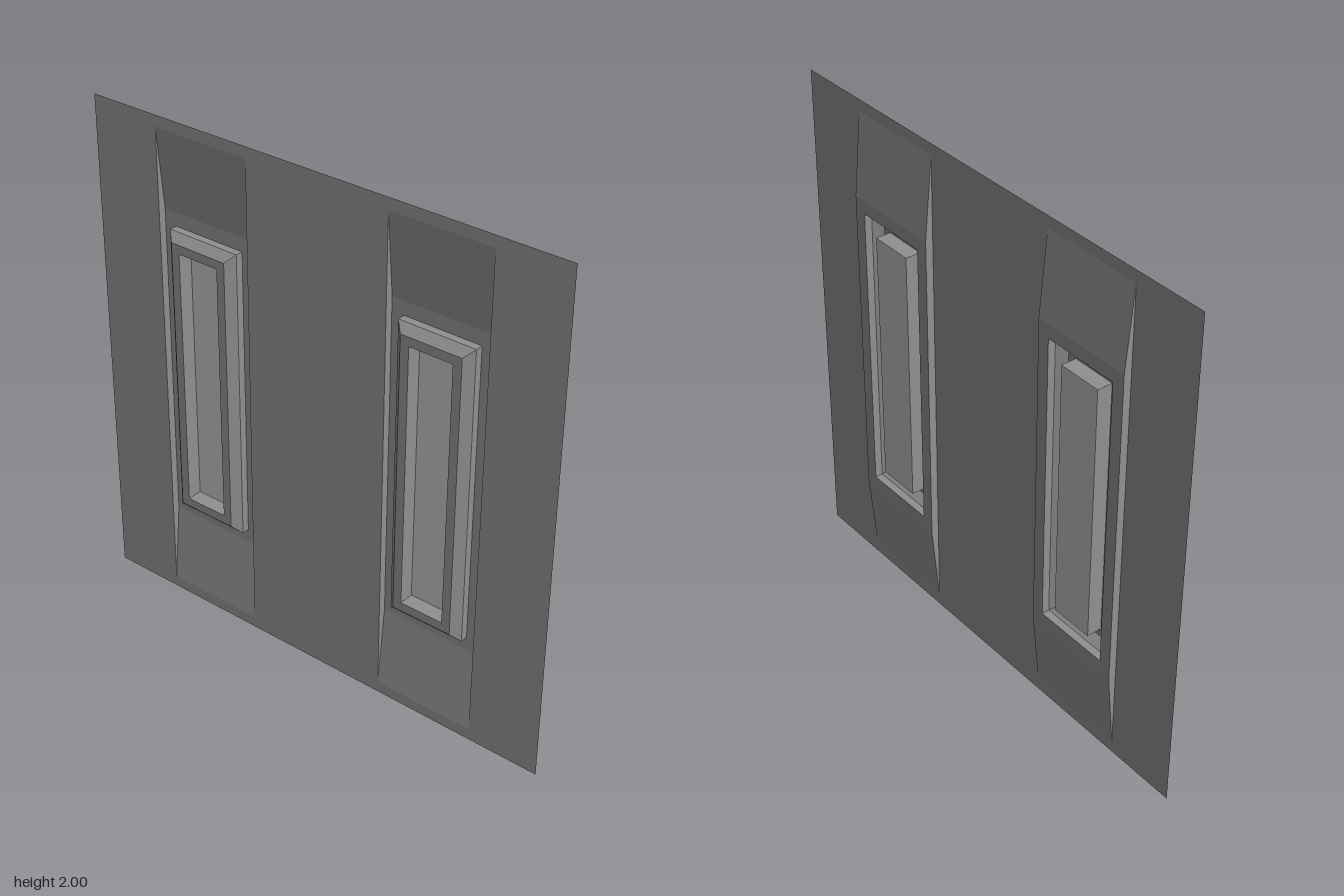
import * as THREE from 'three';

const sheetGrey = new THREE.MeshStandardMaterial({ color: 0x909090, side: THREE.DoubleSide });
sheetGrey.name = 'sheetGrey';
const paneGrey = new THREE.MeshStandardMaterial({ color: 0xbcbcbc, side: THREE.DoubleSide });
paneGrey.name = 'paneGrey';

const windowZ = 0.505; // distance of each window bay from the middle

// Flat-faced skin through nested rectangles, each given as [half z, half y, x]
function rectangleLoft(rings) {
  const corners = ([hz, hy, x]) => [[x, hy, -hz], [x, hy, hz], [x, -hy, hz], [x, -hy, -hz]];
  const points = [];
  for (let r = 0; r < rings.length - 1; r++) {
    const outer = corners(rings[r]);
    const inner = corners(rings[r + 1]);
    for (let i = 0; i < 4; i++) {
      const j = (i + 1) % 4;
      points.push(...outer[i], ...outer[j], ...inner[j], ...outer[i], ...inner[j], ...inner[i]);
    }
  }
  const geometry = new THREE.BufferGeometry();
  geometry.setAttribute('position', new THREE.Float32BufferAttribute(points, 3));
  geometry.computeVertexNormals();
  return geometry;
}

function rectanglePath(path, cx, hx, cy, hy) {
  path.moveTo(cx - hx, cy - hy);
  path.lineTo(cx + hx, cy - hy);
  path.lineTo(cx + hx, cy + hy);
  path.lineTo(cx - hx, cy + hy);
  path.closePath();
  return path;
}

function addMesh(parent, name, geometry, material) {
  const mesh = new THREE.Mesh(geometry, material);
  mesh.name = name;
  parent.add(mesh);
  return mesh;
}

export function createModel() {
  const model = new THREE.Group();
  model.name = 'wallPanel';

  // Thin square sheet, open where the bays are pressed out
  const outline = rectanglePath(new THREE.Shape(), 0, 1, 1, 1);
  for (const side of [-1, 1]) {
    outline.holes.push(rectanglePath(new THREE.Path(), side * windowZ, 0.205, 1, 0.955));
  }
  addMesh(model, 'sheet', new THREE.ShapeGeometry(outline).rotateY(Math.PI / 2), sheetGrey);

  for (const side of [-1, 1]) {
    const bay = new THREE.Group();
    bay.name = side > 0 ? 'frontWindowBay' : 'backWindowBay';
    bay.position.set(0, 1, side * windowZ);
    model.add(bay);

    // Raised strip with tapered ends
    addMesh(bay, 'raisedStrip', rectangleLoft([
      [0.205, 0.955, 0], [0.205, 0.637, 0.03], [0.155, 0.583, 0.03],
    ]), sheetGrey);

    // Recessed frame: straight wall, bevel, floor, then the pane's upstand
    addMesh(bay, 'windowFrame', rectangleLoft([
      [0.155, 0.583, 0.03], [0.155, 0.583, 0], [0.123, 0.552, -0.03],
      [0.088, 0.517, -0.03], [0.088, 0.517, 0.03],
    ]), sheetGrey);

    // Pane flush with the strip
    const pane = addMesh(bay, 'windowPane',
      new THREE.PlaneGeometry(0.176, 1.034).rotateY(Math.PI / 2), paneGrey);
    pane.position.x = 0.03;
  }
  return model;
}
